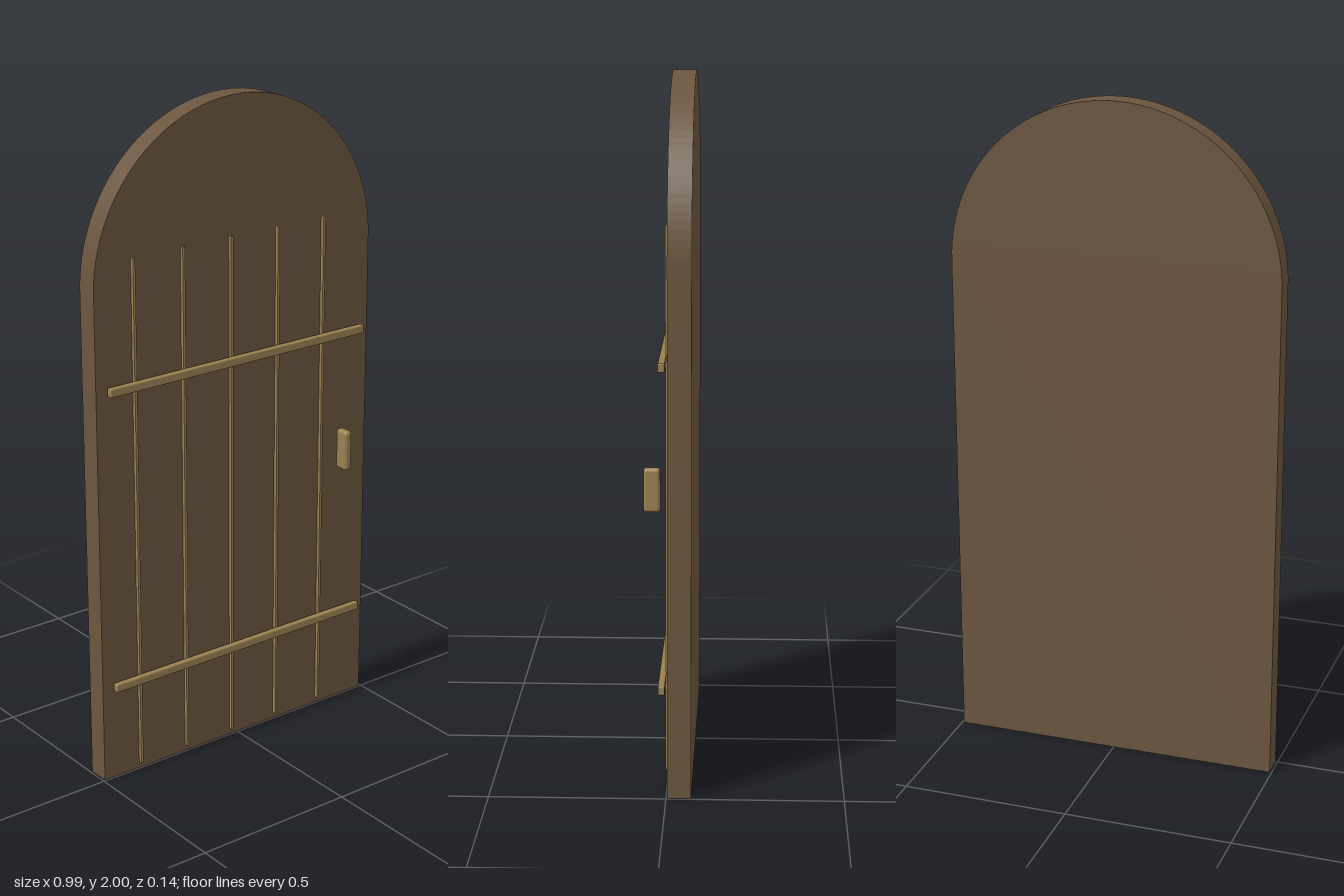
import * as THREE from 'three';
import { RoundedBoxGeometry } from 'three/addons/geometries/RoundedBoxGeometry.js';

export function createModel() {
  const door = new THREE.Group();
  door.name = 'archedDoor';

  const darkWood = new THREE.MeshStandardMaterial({ color: 0x6b563f });
  const paleWood = new THREE.MeshStandardMaterial({ color: 0x9a8050 });

  function add(name, geometry, material, x, y, z) {
    const mesh = new THREE.Mesh(geometry, material);
    mesh.name = name;
    mesh.position.set(x, y, z);
    door.add(mesh);
  }

  // Arched slab: straight sides under a half circle
  const radius = 0.494;
  const spring = 2 - radius;
  const outline = new THREE.Shape();
  outline.moveTo(-radius, 0);
  outline.lineTo(radius, 0);
  outline.lineTo(radius, spring);
  outline.absarc(0, spring, radius, 0, Math.PI, false);
  outline.lineTo(-radius, 0);
  const slab = new THREE.ExtrudeGeometry(outline, { depth: 0.067, bevelEnabled: false, curveSegments: 32 });
  add('doorSlab', slab, darkWood, 0, 0, -0.07);

  // Thin raised battens marking the planks
  for (let i = 0; i < 5; i++) {
    add(`plankBatten${i + 1}`, new THREE.BoxGeometry(0.008, 1.577, 0.011), paleWood, -0.365 + i * 0.17, 0.807, 0.0025);
  }

  // Horizontal straps with softened edges
  for (const [name, y] of [['lowerStrap', 0.304], ['upperStrap', 1.223]]) {
    add(name, new RoundedBoxGeometry(0.924, 0.026, 0.019, 2, 0.004), paleWood, 0, y, 0.0145);
  }

  // Rounded upright handle
  add('handle', new RoundedBoxGeometry(0.027, 0.126, 0.047, 3, 0.01), paleWood, 0.374, 0.862, 0.0435);

  return door;
}
